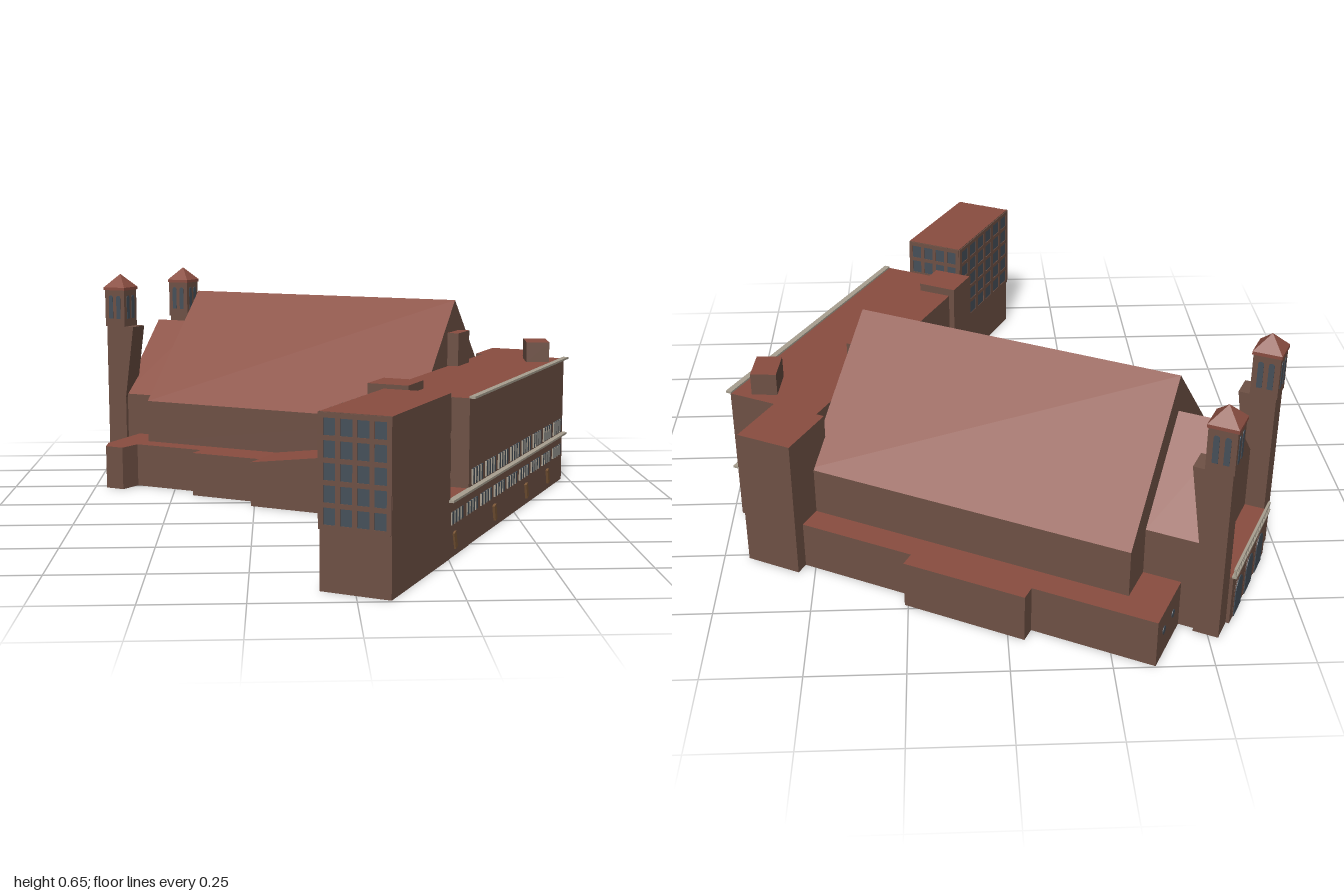
import * as THREE from 'three';

const mat = (color) => new THREE.MeshStandardMaterial({ color, roughness: 0.9, flatShading: true, side: THREE.DoubleSide });

export function createModel() {
  const wall = mat(0x6f5145), roof = mat(0x8a4d40), glass = mat(0x46505a);
  const trim = mat(0xa89f90), wood = mat(0x7a5636);
  const model = new THREE.Group();
  model.name = 'churchComplex';
  // Everything is laid out on the building's own axes, then turned on the site.
  const site = new THREE.Group();
  site.name = 'site';
  site.rotation.y = -0.468;
  model.add(site);

  const add = (name, geo, m, parent = site) => {
    const mesh = new THREE.Mesh(geo, m);
    mesh.name = name;
    parent.add(mesh);
    return mesh;
  };
  const boxGeo = (x0, x1, y0, y1, z0, z1) =>
    new THREE.BoxGeometry(x1 - x0, y1 - y0, z1 - z0)
      .translate((x0 + x1) / 2, (y0 + y1) / 2, (z0 + z1) / 2);
  const box = (name, m, ...b) => add(name, boxGeo(...b), m);
  // Surface made of flat convex polygons
  const faces = (name, m, polys) => {
    const pos = [];
    for (const p of polys)
      for (let i = 1; i < p.length - 1; i++) pos.push(...p[0], ...p[i], ...p[i + 1]);
    const g = new THREE.BufferGeometry();
    g.setAttribute('position', new THREE.Float32BufferAttribute(pos, 3));
    g.computeVertexNormals();
    add(name, g, m);
  };
  // Flat-roofed brick shell, open underneath
  const block = (name, x0, x1, z0, z1, y1, y0 = 0) => {
    const c = [[x0, z1], [x1, z1], [x1, z0], [x0, z0]];
    faces(name + 'Walls', wall, c.map(([x, z], i) => {
      const [u, w] = c[(i + 1) % 4];
      return [[x, y0, z], [u, y0, w], [u, y1, w], [x, y1, z]];
    }));
    faces(name + 'Roof', roof, [c.map(([x, z]) => [x, y1, z])]);
  };
  // Gabled hall running along x, open underneath
  const hall = (name, x0, x1, z0, z1, base, eave, ridge, eastEnd) => {
    const m = (z0 + z1) / 2;
    const end = (x) => [[x, base, z0], [x, base, z1], [x, eave, z1], [x, ridge, m], [x, eave, z0]];
    const walls = [
      [[x0, base, z1], [x1, base, z1], [x1, eave, z1], [x0, eave, z1]],
      [[x1, base, z0], [x0, base, z0], [x0, eave, z0], [x1, eave, z0]],
      end(x0)];
    if (eastEnd) walls.push(end(x1).reverse());
    faces(name + 'Walls', wall, walls);
    faces(name + 'Roof', roof, [
      [[x0, eave, z1], [x1, eave, z1], [x1, ridge, m], [x0, ridge, m]],
      [[x1, eave, z0], [x0, eave, z0], [x0, ridge, m], [x1, ridge, m]]]);
  };
  // Low storey: walls follow the outer path, the roof reaches back to the inner one
  const aisle = (name, outer, inner, slope = 0) => {
    const top = (x) => 0.131 + Math.max(0, x + 0.213) * slope;
    faces(name + 'Walls', wall, outer.slice(1).map(([x, z], i) => {
      const [u, w] = outer[i];
      return [[u, 0, w], [x, 0, z], [x, top(x), z], [u, top(u), w]];
    }));
    const shape = new THREE.Shape([...outer, ...inner].map(([x, z]) => new THREE.Vector2(x, -z)));
    const g = new THREE.ShapeGeometry(shape).rotateX(-Math.PI / 2);
    const p = g.attributes.position;
    for (let i = 0; i < p.count; i++) p.setY(i, top(p.getX(i)));
    g.computeVertexNormals();
    add(name + 'Roof', g, roof);
  };
  // Arched panel facing +z, base at the origin
  const arch = (w, h, d) => {
    const s = new THREE.Shape();
    s.moveTo(-w / 2, 0);
    s.lineTo(w / 2, 0);
    s.lineTo(w / 2, h - w / 2);
    s.absarc(0, h - w / 2, w / 2, 0, Math.PI, false);
    s.closePath();
    return new THREE.ExtrudeGeometry(s, { depth: d, bevelEnabled: false, curveSegments: 6 });
  };

  // Nave and the lower entrance gable
  const axis = -0.333;
  hall('nave', -0.665, 0.24, -0.66, -0.008, 0.13, 0.26, 0.585, true);
  hall('entrance', -0.82, -0.665, axis - 0.22, axis + 0.22, 0, 0.26, 0.483, false);

  // Aisles: chamfered chapel and stepped bays on the south, shallow bay on the north
  aisle('southAisle',
    [[-0.765, -0.113], [-0.765, 0.068], [-0.74, 0.119], [-0.68, 0.119], [-0.668, 0.052],
      [-0.44, 0.052], [-0.44, 0.103], [-0.213, 0.103]],
    [[-0.213, -0.008], [-0.665, -0.008], [-0.665, -0.113]]);
  aisle('southSlopedBay',
    [[-0.213, 0.103], [-0.213, 0.156], [0.125, 0.156], [0.125, 0.22], [0.245, 0.22]],
    [[0.245, -0.008], [-0.213, -0.008]], 0.14);
  aisle('northAisle',
    [[0.222, -0.73], [-0.1, -0.73], [-0.1, -0.772], [-0.436, -0.772], [-0.436, -0.73],
      [-0.765, -0.73], [-0.765, -0.553]],
    [[-0.665, -0.553], [-0.665, -0.66], [0.222, -0.66]]);

  // Small round windows at the aisle ends
  for (const z of [-0.68, -0.61, -0.03, 0.03]) {
    const w = add('roundWindow', new THREE.CylinderGeometry(0.011, 0.011, 0.004, 12), glass);
    w.rotation.z = Math.PI / 2;
    w.position.set(-0.765, 0.075, z);
  }

  // Bell towers, each with a tapering buttress behind the shaft
  for (const side of [-1, 1]) {
    const tower = new THREE.Group();
    tower.name = side < 0 ? 'northTower' : 'southTower';
    tower.position.set(-0.84, 0, axis + side * 0.198);
    site.add(tower);
    add('shaft', boxGeo(-0.033, 0.033, 0, 0.48, -0.033, 0.033), wall, tower);
    const wedge = new THREE.Shape([
      new THREE.Vector2(0.033, 0.25), new THREE.Vector2(0.066, 0.48), new THREE.Vector2(0.033, 0.48)]);
    add('taperedButtress', new THREE.ExtrudeGeometry(wedge, { depth: 0.066, bevelEnabled: false })
      .translate(0, 0, -0.033), wall, tower);
    add('belfry', boxGeo(-0.036, 0.036, 0.48, 0.6, -0.036, 0.036), wall, tower);
    add('cornice', boxGeo(-0.039, 0.039, 0.597, 0.606, -0.039, 0.039), roof, tower);
    const cap = add('towerRoof', new THREE.ConeGeometry(0.055, 0.042, 4).rotateY(Math.PI / 4), roof, tower);
    cap.position.y = 0.627;
    for (let i = 0; i < 4; i++) {
      const face = new THREE.Group();
      face.name = 'belfryFace';
      face.rotation.y = i * Math.PI / 2;
      tower.add(face);
      for (const dx of [-0.014, 0.014])
        add('belfryOpening', arch(0.015, 0.075, 0.003).translate(dx, 0.505, 0.0345), glass, face);
    }
  }

  // Entrance porch: three arched doors, balustrade and rose window
  block('porch', -0.882, -0.815, axis - 0.165, axis + 0.165, 0.142);
  box('porchCornice', trim, -0.89, -0.878, 0.14, 0.146, axis - 0.165, axis + 0.165);
  box('balustradeRail', trim, -0.889, -0.882, 0.163, 0.168, axis - 0.165, axis + 0.165);
  for (let i = 0; i < 15; i++) {
    const z = axis - 0.16 + i * 0.32 / 14;
    box('baluster', trim, -0.888, -0.883, 0.145, 0.164, z - 0.003, z + 0.003);
  }
  for (const dz of [-0.1, 0, 0.1]) {
    const place = (m) => { m.rotation.y = -Math.PI / 2; m.position.set(-0.88, 0, axis + dz); };
    place(add('doorSurround', arch(0.078, 0.112, 0.003), wall));
    place(add('archedDoor', arch(0.064, 0.103, 0.005), glass));
  }
  const rose = new THREE.Group();
  rose.name = 'roseWindow';
  rose.position.set(-0.822, 0.215, axis);
  rose.rotation.y = -Math.PI / 2;
  site.add(rose);
  add('roseGlass', new THREE.CylinderGeometry(0.038, 0.038, 0.005, 20).rotateX(Math.PI / 2), glass, rose);
  add('roseFrame', new THREE.TorusGeometry(0.039, 0.005, 6, 20), trim, rose);
  add('roseHub', new THREE.TorusGeometry(0.014, 0.003, 6, 12), trim, rose).position.z = 0.004;
  for (let i = 0; i < 8; i++) {
    const spoke = add('roseSpoke', boxGeo(0.014, 0.038, -0.002, 0.002, 0, 0.005), trim, rose);
    spoke.rotation.z = i * Math.PI / 4;
  }

  // Long wing across the east end
  block('longWing', 0.245, 0.515, -0.592, 0.315, 0.39);
  block('northStair', 0.222, 0.377, -0.767, -0.592, 0.39);
  block('southStair', 0.228, 0.345, 0.205, 0.318, 0.413);
  block('lowExtension', 0.457, 0.517, 0.315, 0.467, 0.152);
  box('roofEdge', trim, 0.513, 0.53, 0.389, 0.395, -0.592, 0.315);
  box('walkwayLedge', trim, 0.513, 0.531, 0.148, 0.154, -0.592, 0.474);
  block('gableShaft', 0.19, 0.275, -0.37, -0.27, 0.49, 0.39);
  const penthouse = add('roofPenthouse', boxGeo(-0.035, 0.035, 0.39, 0.452, -0.052, 0.052),
    [wall, wall, roof, wall, wall, wall]);
  penthouse.position.set(0.447, 0, -0.512);
  penthouse.rotation.y = 0.4;

  // Two bands of windows along the wing
  const windowBand = (name, z0, z1, groups, y0, y1) => {
    const pitch = (z1 - z0) / groups;
    for (let i = 0; i < groups; i++) for (let j = 0; j < 4; j++) {
      const z = z0 + pitch * (i + 0.12 + j * 0.2);
      box(name + 'Pane', glass, 0.512, 0.518, y0, y1, z, z + pitch * 0.15);
      box(name + 'Mullion', trim, 0.512, 0.52, y0, y1, z + pitch * 0.16, z + pitch * 0.185);
    }
  };
  windowBand('upperWindow', -0.585, 0.305, 8, 0.158, 0.2);
  windowBand('lowerWindow', -0.585, 0.465, 9, 0.085, 0.118);

  // Tilted door leaves at street level
  for (const z of [-0.425, -0.2, 0.1, 0.427]) {
    const leaf = add('streetDoor', new THREE.BoxGeometry(0.008, 0.045, 0.016), wood);
    leaf.position.set(0.518, 0.042, z);
    leaf.rotation.x = 0.3;
  }

  // Office block at the south end: plain street face, gridded windows on the rest
  block('office', 0.337, 0.518, 0.467, 0.85, 0.425);
  box('officeGlassWest', glass, 0.335, 0.338, 0.152, 0.42, 0.467, 0.85);
  for (const [n, z] of [['South', 0.85], ['North', 0.467]])
    box('officeGlass' + n, glass, 0.337, 0.515, 0.152, 0.42, z - 0.002, z + 0.002);
  for (let r = 0; r <= 5; r++) {
    const y = 0.155 + r * 0.0525;
    box('officeRailWest', wall, 0.333, 0.336, y - 0.006, y + 0.006, 0.466, 0.851);
    for (const z of [0.465, 0.852]) box('officeRail', wall, 0.336, 0.516, y - 0.006, y + 0.006, z - 0.0015, z + 0.0015);
  }
  for (let c = 0; c <= 6; c++) {
    const z = 0.474 + c * 0.369 / 6;
    box('officePostWest', wall, 0.333, 0.336, 0.152, 0.424, z - 0.008, z + 0.008);
  }
  for (let c = 0; c <= 4; c++) {
    const x = 0.342 + c * 0.17 / 4;
    for (const z of [0.465, 0.852]) box('officePost', wall, x - 0.006, x + 0.006, 0.152, 0.424, z - 0.0015, z + 0.0015);
  }
  return model;
}
